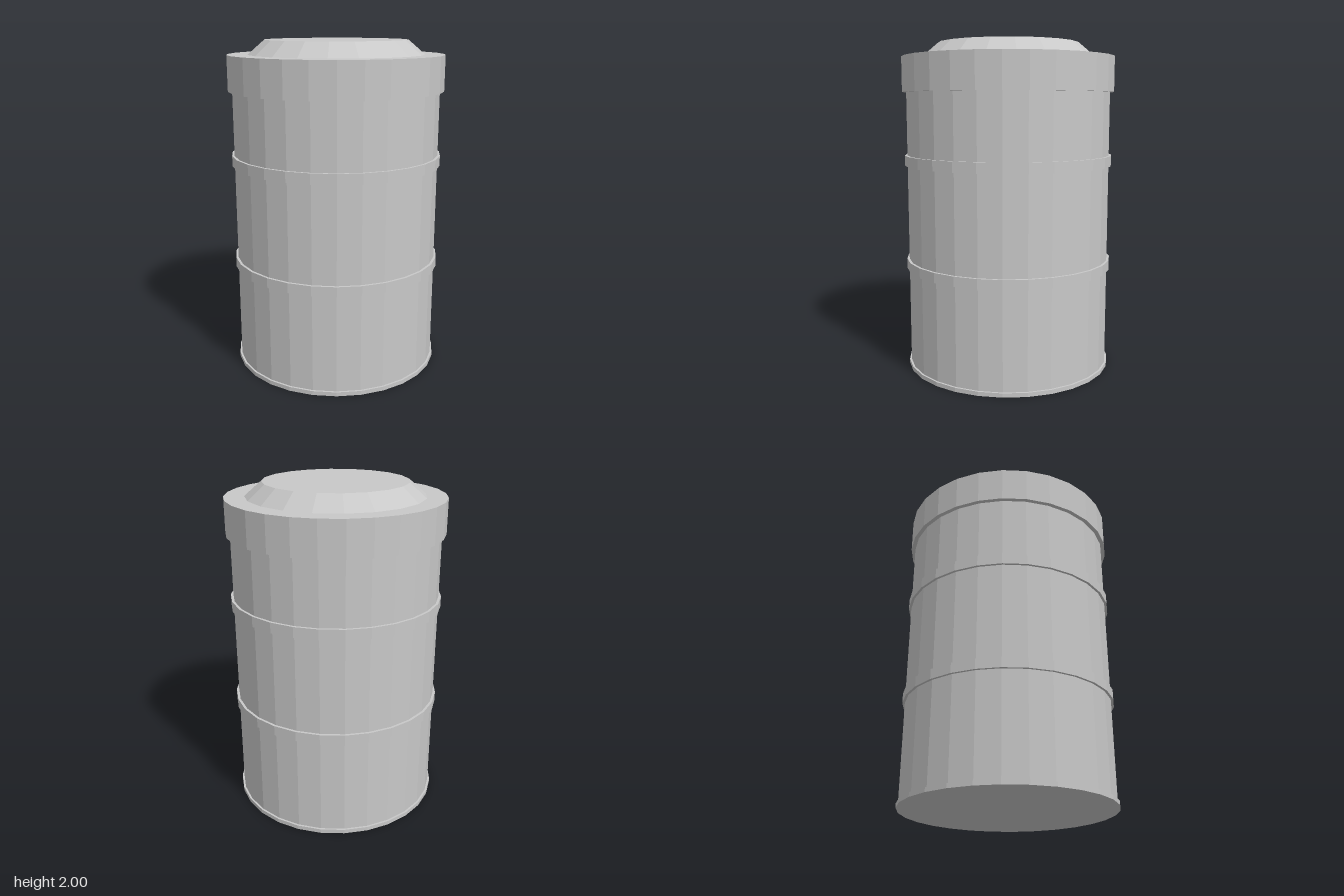
import * as THREE from 'three';

export function createModel() {
  const group = new THREE.Group();
  group.name = 'barrel';
  const steel = new THREE.MeshStandardMaterial({ color: 0xc8c8c8 });
  steel.name = 'grey steel';

  // Faceted ring or disc between two heights; flat normals for a low-poly look
  function drum(name, y0, y1, rBottom, rTop, sides) {
    const geometry = new THREE.CylinderGeometry(rTop, rBottom, y1 - y0, sides).toNonIndexed();
    geometry.computeVertexNormals();
    const mesh = new THREE.Mesh(geometry, steel);
    mesh.name = name;
    mesh.position.y = (y0 + y1) / 2;
    group.add(mesh);
  }

  // Body and foot rim
  drum('body', 0.01, 1.75, 0.625, 0.625, 28);
  drum('footRim', 0, 0.025, 0.637, 0.637, 28);

  // Raised hoops around the body
  drum('lowerHoop', 0.62, 0.68, 0.64, 0.64, 28);
  drum('upperHoop', 1.26, 1.323, 0.64, 0.64, 28);

  // Lid collar and its bevelled crown
  drum('lidCollar', 1.705, 1.915, 0.65, 0.65, 28);
  drum('lidCrown', 1.915, 2, 0.53, 0.43, 20);

  return group;
}
